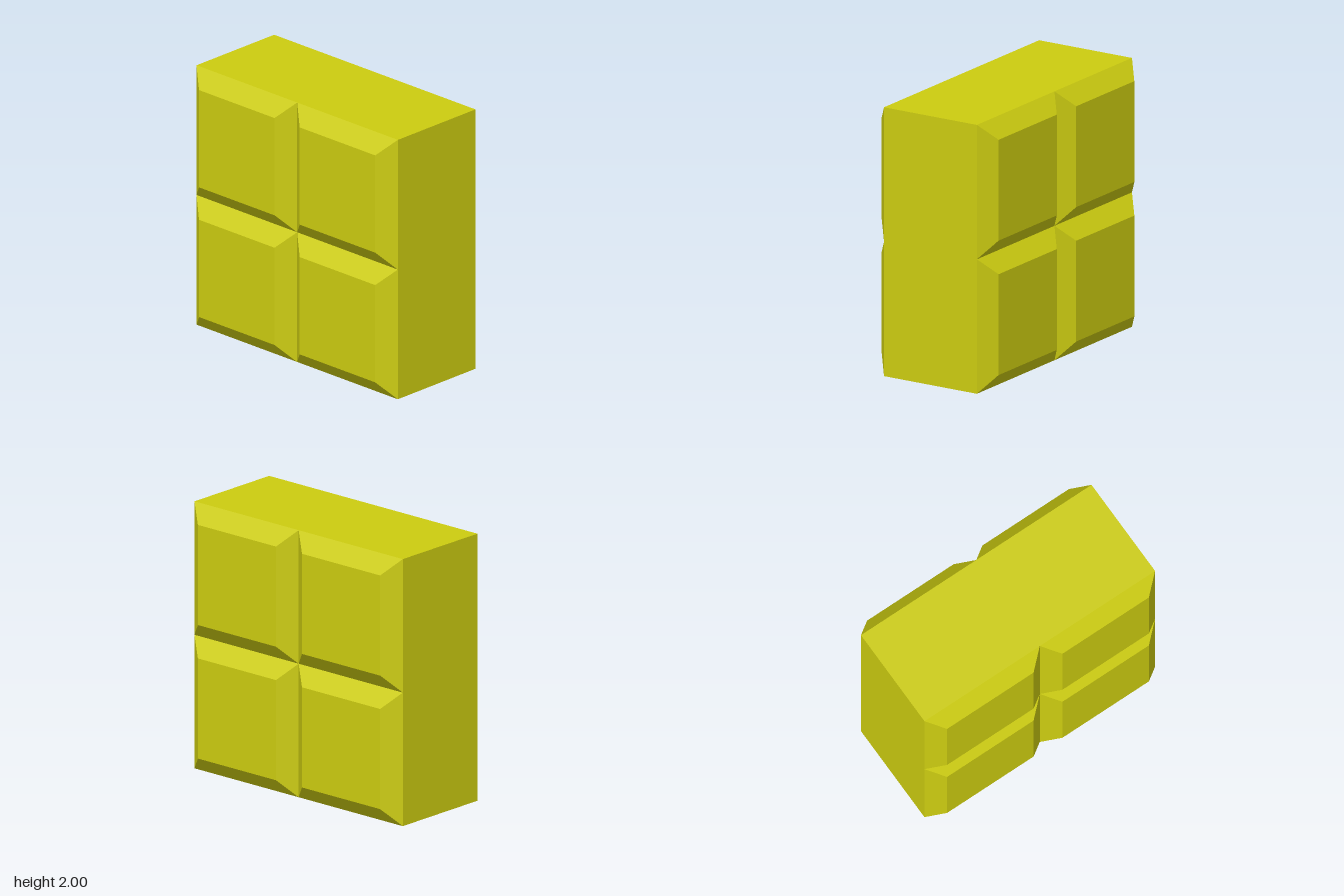
import * as THREE from 'three';

const CORE = 0.397; // half depth of the core, where the bevels begin
const DEPTH = 0.5;  // half depth at the raised faces
const INSET = 0.125;

// Box that keeps only its first faces, in the order +x, -x, +y, -y, +z, -z
function openBox(w, h, d, faces) {
  const g = new THREE.BoxGeometry(w, h, d);
  g.setIndex(Array.from(g.index.array).slice(0, faces * 6));
  g.clearGroups();
  return g.toNonIndexed();
}

// Square panel with bevelled sides, open where it meets the core
function panelGeometry() {
  const h = DEPTH - CORE;
  const g = openBox(1, 1, h, 5);
  g.translate(0, 0, h / 2);
  const p = g.attributes.position;
  const s = 1 - 2 * INSET;
  for (let i = 0; i < p.count; i++) {
    if (p.getZ(i) > h / 2) p.setXY(i, p.getX(i) * s, p.getY(i) * s);
  }
  g.computeVertexNormals();
  return g;
}

export function createModel() {
  const model = new THREE.Group();
  model.name = 'panelledBlock';
  const material = new THREE.MeshStandardMaterial({ color: 0xcccc10, flatShading: true });

  // Four outer walls; the panels close the front and back
  const core = new THREE.Mesh(openBox(2, 2, 2 * CORE, 4), material);
  core.name = 'core';
  core.position.y = 1;
  model.add(core);

  // Two by two raised panels on the front and on the back
  const geometry = panelGeometry();
  for (const [side, sign] of [['front', 1], ['back', -1]]) {
    for (const [column, x] of [['Left', 0.5], ['Right', -0.5]]) {
      for (const [row, y] of [['Lower', 0.5], ['Upper', 1.5]]) {
        const panel = new THREE.Mesh(geometry, material);
        panel.name = `${side}${row}${column}Panel`;
        panel.position.set(x, y, sign * CORE);
        if (sign < 0) panel.rotation.y = Math.PI;
        model.add(panel);
      }
    }
  }
  return model;
}
